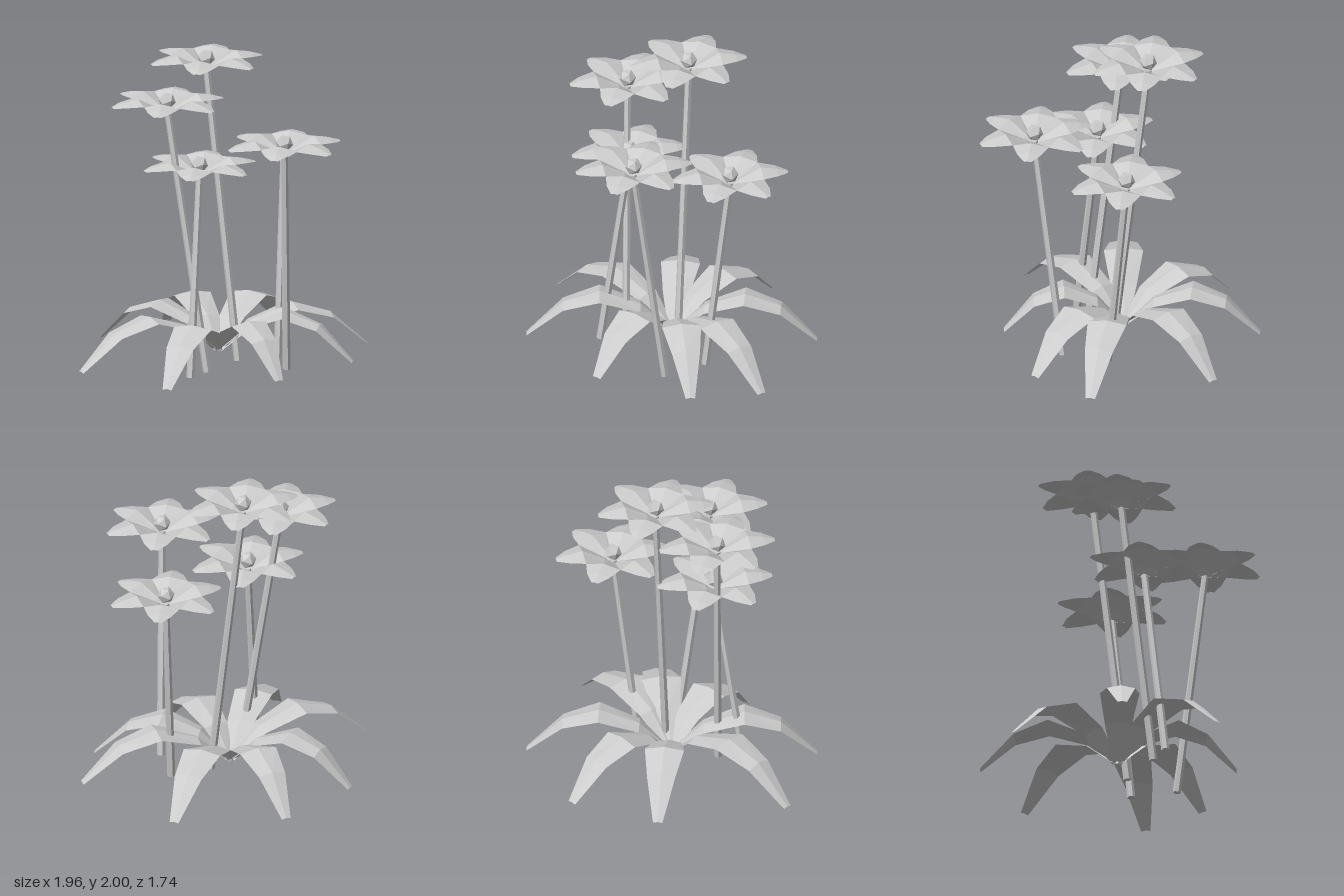
import * as THREE from 'three';

const plantGrey = new THREE.MeshStandardMaterial({
  color: 0xcccccc, flatShading: true, side: THREE.DoubleSide,
});

// Folded blade along +x from stations [distance, ridge height, half width, fold depth]
function bladeGeometry(stations) {
  const pos = [], index = [];
  stations.forEach(([d, y, w, fold], i) => {
    pos.push(d, y - fold, w, d, y, 0, d, y - fold, -w);
    if (i === 0) return;
    for (let k = 0; k < 2; k++) {
      const a = (i - 1) * 3 + k, b = i * 3 + k;
      index.push(a, b, a + 1, b, b + 1, a + 1);
    }
  });
  const geo = new THREE.BufferGeometry();
  geo.setAttribute('position', new THREE.Float32BufferAttribute(pos, 3));
  geo.setIndex(index);
  const flat = geo.toNonIndexed();
  flat.computeVertexNormals();
  return flat;
}

function addMesh(parent, name, geometry) {
  const mesh = new THREE.Mesh(geometry, plantGrey);
  mesh.name = name;
  parent.add(mesh);
  return mesh;
}

// Arching leaf: rises from the root, peaks halfway, droops to the tip
function leafGeometry(length) {
  return bladeGeometry([
    [0.01, 0.08, 0.03, 0.01],
    [0.22 * length, 0.26, 0.085, 0.02],
    [0.5 * length, 0.35, 0.125, 0.02],
    [0.75 * length, 0.275, 0.09, 0.02],
    [length, 0.05, 0.03, 0.006],
  ]);
}

// Straight six-sided stem between two points
function stemGeometry(from, to) {
  const dir = to.clone().sub(from);
  const geo = new THREE.CylinderGeometry(0.022, 0.026, dir.length(), 6);
  const turn = new THREE.Quaternion().setFromUnitVectors(
    new THREE.Vector3(0, 1, 0), dir.clone().normalize());
  geo.applyQuaternion(turn);
  const mid = from.clone().add(to).multiplyScalar(0.5);
  return geo.translate(mid.x, mid.y, mid.z);
}

const petalGeometry = bladeGeometry([
  [0.015, -0.075, 0.012, 0.004],
  [0.06, -0.04, 0.04, 0.012],
  [0.2, 0.03, 0.115, 0.025],
  [0.3, 0.012, 0.075, 0.015],
  [0.372, -0.01, 0.022, 0.004],
]);

// Faceted flower centre with one face turned up
const centreGeometry = new THREE.IcosahedronGeometry(0.056, 0).applyQuaternion(
  new THREE.Quaternion().setFromUnitVectors(
    new THREE.Vector3(1, 1, 1).normalize(), new THREE.Vector3(0, 1, 0)));

function makeFlower([x, y, z, footX, footZ]) {
  const flower = new THREE.Group();
  flower.name = 'flower';
  const head = new THREE.Group();
  head.name = 'flowerHead';
  head.position.set(x, y, z);
  for (let i = 0; i < 6; i++) {
    addMesh(head, 'petal', petalGeometry).rotation.y = i * Math.PI / 3;
  }
  addMesh(head, 'flowerCentre', centreGeometry);
  flower.add(head);
  addMesh(flower, 'stem', stemGeometry(
    new THREE.Vector3(footX, 0.005, footZ), new THREE.Vector3(x, y - 0.06, z)));
  return flower;
}

export function createModel() {
  const plant = new THREE.Group();
  plant.name = 'floweringPlant';

  // Leaf rosette, one blade per tip [x, z]
  const leafTips = [
    [-0.03, -0.87], [0.65, -0.65], [0.975, 0.095], [0.73, 0.48],
    [0.13, 0.75], [-0.61, 0.70], [-0.975, 0.12], [-0.57, -0.62],
  ];
  for (const [x, z] of leafTips) {
    const leaf = addMesh(plant, 'leaf', leafGeometry(Math.hypot(x, z)));
    leaf.rotation.y = -Math.atan2(z, x);
  }

  // Flowers: head position, then the foot of the stem
  const flowers = [
    [-0.025, 1.955, -0.155, 0.11, 0.055],
    [-0.37, 1.76, 0.06, -0.17, 0.245],
    [0.245, 1.545, 0.54, 0.33, 0.35],
    [0.47, 1.36, -0.075, 0.38, 0.055],
    [-0.2, 1.36, 0.19, -0.315, 0.335],
  ];
  flowers.forEach((f) => plant.add(makeFlower(f)));
  return plant;
}
